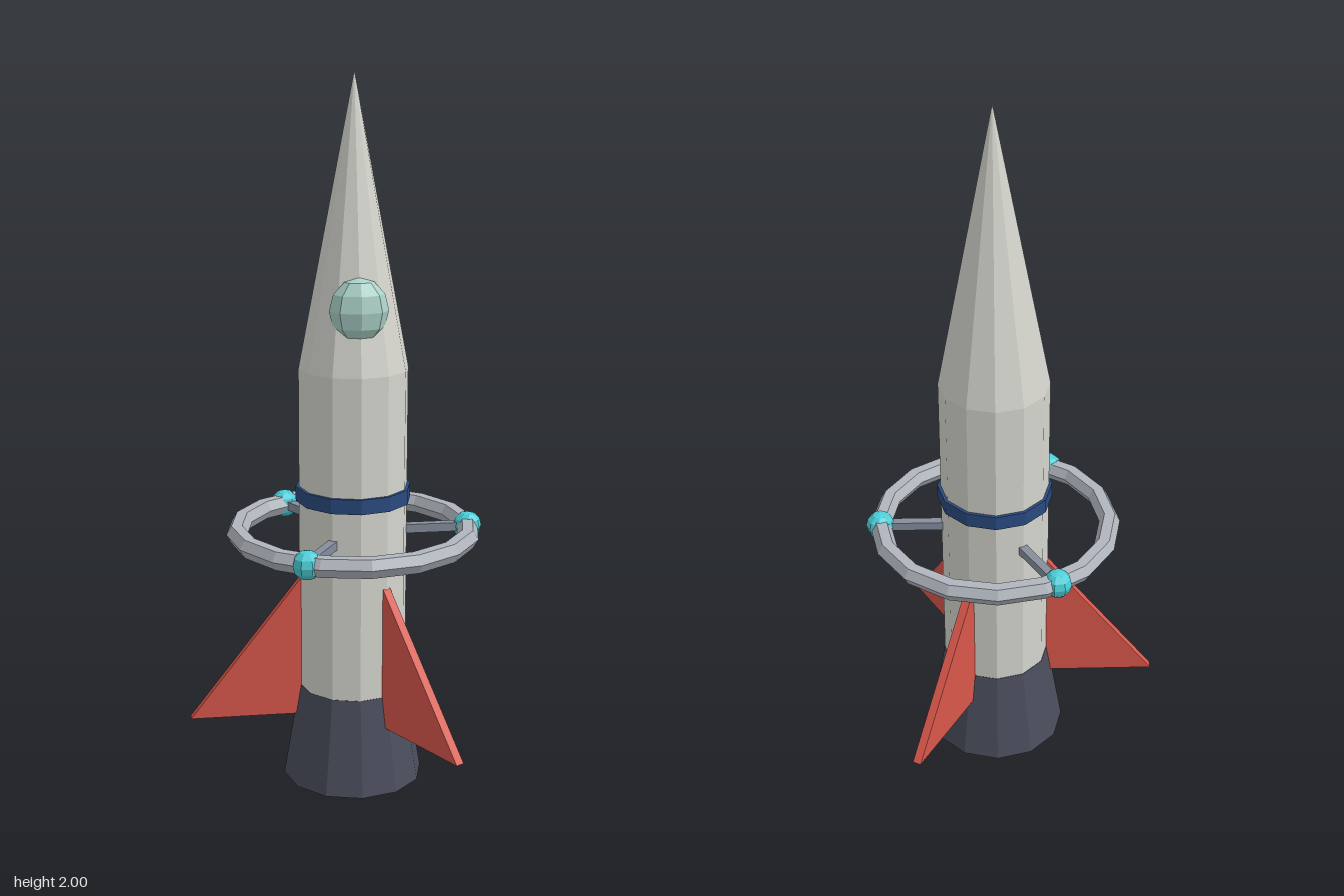
import * as THREE from 'three';

const mat = (name, color) => {
  const m = new THREE.MeshStandardMaterial({ color, flatShading: true });
  m.name = name;
  return m;
};

export function createModel() {
  const hullMat = mat('pale hull', 0xd6d6cf);
  const nozzleMat = mat('dark slate', 0x4a4e5c);
  const bandMat = mat('navy', 0x2a4a80);
  const finMat = mat('red', 0xd8574b);
  const ringMat = mat('light steel', 0xb0b5bd);
  const strutMat = mat('blue steel', 0x868d9c);
  const podMat = mat('cyan', 0x4cced8);
  const windowMat = mat('pale glass', 0xacd2c9);

  const model = new THREE.Group();
  model.name = 'rocket';
  const rocket = new THREE.Group();
  rocket.name = 'rocketBody';
  rocket.position.x = 0.05;
  model.add(rocket);

  const add = (name, geometry, material, x = 0, y = 0, z = 0, parent = rocket) => {
    const mesh = new THREE.Mesh(geometry, material);
    mesh.name = name;
    mesh.position.set(x, y, z);
    parent.add(mesh);
    return mesh;
  };
  // Twelve-sided section between two heights
  const section = (name, rTop, rBottom, y0, y1, material) =>
    add(name, new THREE.CylinderGeometry(rTop, rBottom, y1 - y0, 12), material, 0, (y0 + y1) / 2);

  // Hull
  section('nozzle', 0.154, 0.2, 0, 0.275, nozzleMat);
  section('fuselage', 0.153, 0.153, 0.26, 1.2, hullMat);
  section('band', 0.162, 0.162, 0.824, 0.866, bandMat);
  add('noseCone', new THREE.ConeGeometry(0.153, 0.8, 12), hullMat, 0, 1.6);

  // Bulging window set into the nose
  add('window', new THREE.SphereGeometry(1, 8, 6), windowMat, 0, 1.375, 0.1).scale.set(0.081, 0.09, 0.055);

  // Ring around the hull
  const ringR = 0.328, ringY = 0.731;
  add('ring', new THREE.TorusGeometry(ringR, 0.03, 6, 16), ringMat, 0, ringY).rotation.x = Math.PI / 2;

  // Triangular fin, thin across z
  const outline = new THREE.Shape([[0.145, 0.187], [0.468, 0.187], [0.145, 0.605]].map(p => new THREE.Vector2(...p)));
  const finGeo = new THREE.ExtrudeGeometry(outline, { depth: 0.025, bevelEnabled: false });
  finGeo.translate(0, 0, -0.0125);

  // Three struts with pods, and three fins between them
  for (let i = 0; i < 3; i++) {
    const angle = i * Math.PI * 2 / 3;
    const arm = new THREE.Group();
    arm.name = 'ringArm';
    arm.rotation.y = angle;
    rocket.add(arm);
    add('strut', new THREE.BoxGeometry(0.19, 0.025, 0.025), strutMat, 0.235, ringY, 0, arm);
    add('pod', new THREE.SphereGeometry(0.041, 8, 6), podMat, ringR, ringY, 0, arm);
    add('fin', finGeo, finMat).rotation.y = angle + Math.PI;
  }
  return model;
}
